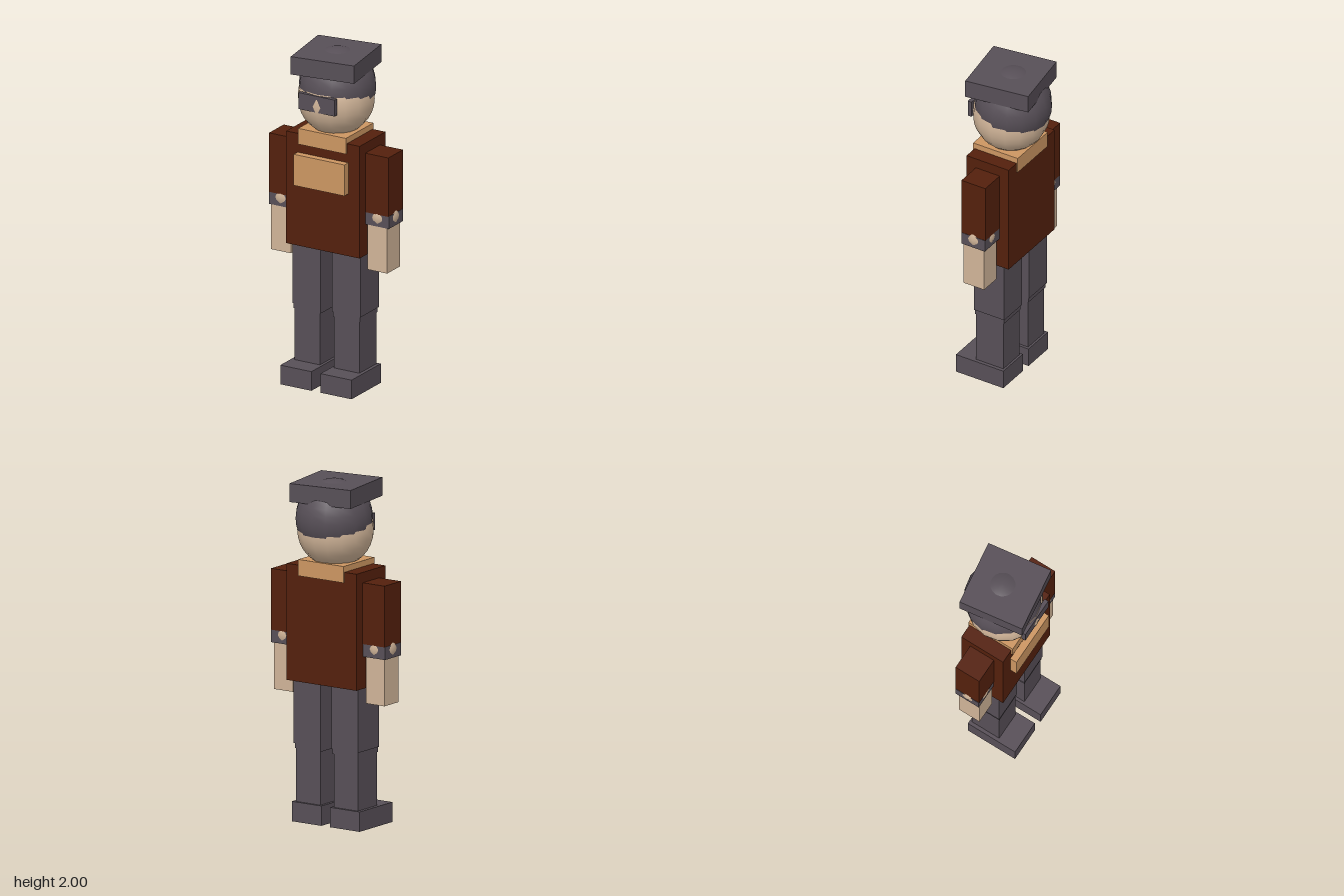
import * as THREE from 'three';

const mat = (name, color) => {
  const m = new THREE.MeshStandardMaterial({ color });
  m.name = name;
  return m;
};

export function createModel() {
  const model = new THREE.Group();
  model.name = 'figure';
  const dark = mat('charcoal', 0x574f57);
  const brown = mat('brownCloth', 0x54200c);
  const tan = mat('tanCloth', 0xcc9662);
  const skin = mat('skin', 0xd0b498);

  const add = (name, geometry, material, x, y, z) => {
    const mesh = new THREE.Mesh(geometry, material);
    mesh.name = name;
    mesh.position.set(x, y, z);
    model.add(mesh);
    return mesh;
  };
  // Box given by its [min, max] range on each axis
  const box = (name, material, [x0, x1], [y0, y1], [z0, z1]) =>
    add(name, new THREE.BoxGeometry(x1 - x0, y1 - y0, z1 - z0), material,
      (x0 + x1) / 2, (y0 + y1) / 2, (z0 + z1) / 2);
  const ball = (name, material, r, x, y, z) =>
    add(name, new THREE.SphereGeometry(r, 16, 16), material, x, y, z);

  // Torso, collar and chest panel
  box('torso', brown, [-0.243, 0.243], [0.825, 1.5], [-0.133, 0.148]);
  box('collar', tan, [-0.158, 0.158], [1.44, 1.535], [-0.14, 0.158]);
  box('chestPanel', tan, [-0.168, 0.168], [1.2, 1.387], [0.14, 0.19]);

  // Head, with the hair as a larger ball set up and back
  ball('head', skin, 0.22, 0, 1.71, 0.003);
  ball('hair', dark, 0.221, 0, 1.779, -0.011);
  box('glasses', dark, [-0.12, 0.12], [1.678, 1.777], [0.193, 0.218]);
  const cap = box('cap', dark, [-0.195, 0.195], [1.88, 1.987], [-0.189, 0.201]);
  cap.rotation.y = 0.141;

  // Arms and legs, mirrored; side +1 is the left
  for (const side of [1, -1]) {
    const s = side > 0 ? 'left' : 'right';
    const span = (a, b) => (side > 0 ? [a, b] : [-b, -a]);

    box(s + 'Sleeve', brown, span(0.24, 0.395), [1.085, 1.44], [-0.073, 0.086]);
    box(s + 'Cuff', dark, span(0.243, 0.397), [1.012, 1.086], [-0.071, 0.084]);
    ball(s + 'ElbowJoint', skin, 0.084, side * 0.32, 1.062, 0.007);
    box(s + 'Forearm', skin, span(0.254, 0.384), [0.74, 1.02], [-0.058, 0.08]);

    box(s + 'Thigh', dark, span(0.038, 0.225), [0.455, 0.84], [-0.092, 0.11]);
    box(s + 'Knee', dark, span(0.042, 0.219), [0.425, 0.46], [-0.086, 0.107]);
    box(s + 'Shin', dark, span(0.047, 0.215), [0.1, 0.43], [-0.08, 0.104]);
    box(s + 'Shoe', dark, span(0.03, 0.236), [0, 0.115], [-0.093, 0.224]);
  }
  return model;
}
